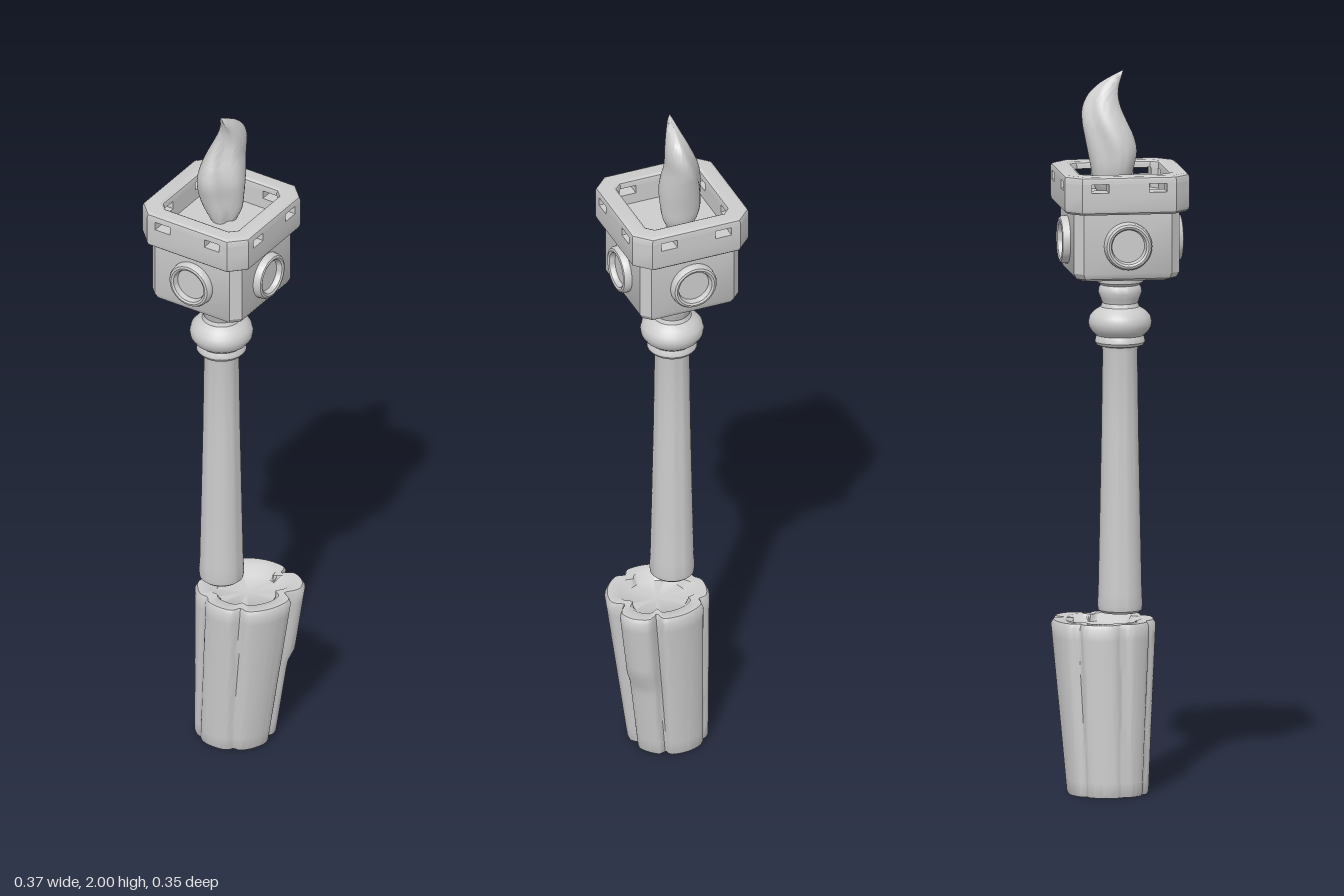
import * as THREE from 'three';
import { toCreasedNormals } from 'three/addons/utils/BufferGeometryUtils.js';

const grey = new THREE.MeshStandardMaterial({ color: 0xcccccc });
grey.name = 'plain grey';

// Skin closed cross-sections (arrays of [x, y, z], running from +x towards +z)
function loft(rings, crease = 0.7) {
  const n = rings[0].length, index = [];
  for (let i = 0; i < rings.length - 1; i++) {
    for (let j = 0; j < n; j++) {
      const a = i * n + j, b = i * n + (j + 1) % n, c = a + n, d = b + n;
      index.push(a, c, b, b, c, d);
    }
  }
  const g = new THREE.BufferGeometry();
  g.setAttribute('position', new THREE.Float32BufferAttribute(rings.flat(2), 3));
  g.setIndex(index);
  return toCreasedNormals(g, crease);
}

// Square with cut corners: half width h, corner cut c, height y
function octagon([h, c, y]) {
  const k = h - c;
  return [[h, -k], [h, k], [k, h], [-k, h], [-h, k], [-h, -k], [-k, -h], [k, -h]].map(([x, z]) => [x, y, z]);
}

function lathe(points, segments = 40) {
  const g = new THREE.LatheGeometry(points.map(([r, y]) => new THREE.Vector2(r, y)), segments);
  return toCreasedNormals(g, 0.6);
}

function add(parent, name, geometry) {
  const mesh = new THREE.Mesh(geometry, grey);
  mesh.name = name;
  parent.add(mesh);
  return mesh;
}

const bump = (d, w) => Math.exp(-((d / w) ** 2));
const wrap = (a) => Math.atan2(Math.sin(a), Math.cos(a));
const lerp = THREE.MathUtils.lerp;

// Hollow log with bark lobes split by grooves, leaning to its left
function logGeometry() {
  const N = 120, deg = Math.PI / 180;
  // groove angle, depth, width, drift from top to bottom (degrees)
  const grooves = [[-13, 0.032, 8, 4], [-67, 0.03, 5, 3], [66, 0.018, 6, -6],
    [118, 0.012, 6, 5], [165, 0.012, 7, 0], [-140, 0.018, 6, 4]];
  const ring = (t, y, scale = 1, minR = 0) => {
    const cx = lerp(0.008, 0.042, t), cz = lerp(-0.03, -0.037, t);
    return Array.from({ length: N }, (_, j) => {
      const a = j / N * Math.PI * 2;
      let r = lerp(0.112, 0.143, t);
      for (const [g, depth, w, drift] of grooves) {
        r -= depth * (0.55 + 0.45 * t) * bump(wrap(a - (g + drift * (1 - t)) * deg), w * deg);
      }
      // swollen bark strip that ends half way down
      r += 0.016 * THREE.MathUtils.smoothstep(t, 0.48, 0.58) * bump(wrap(a + 40 * deg), 22 * deg);
      r = minR || r * scale;
      return [cx + r * Math.cos(a), y, cz + r * Math.sin(a)];
    });
  };
  const H = 0.476, rings = [ring(0, 0, 0), ring(0, 0, 0.97)];
  for (let i = 0; i <= 14; i++) {
    const t = i / 14;
    rings.push(ring(t, 0.008 + t * (H - 0.02)));
  }
  rings.push(ring(1, H, 0.95), ring(1, H, 0.72), ring(1, H - 0.02, 0, 0.083), ring(1, H - 0.022, 0));
  return loft(rings, 0.8);
}

// Twisted, curved flame from bounds at each height: y, x min, x max, z min, z max
function flameGeometry() {
  const rows = [[1.655, -0.06, 0.01, -0.06, 0.015], [1.69, -0.085, 0.025, -0.075, 0.025],
    [1.73, -0.1, 0.03, -0.082, 0.034], [1.78, -0.1, 0.032, -0.092, 0.045],
    [1.82, -0.092, 0.027, -0.1, 0.038], [1.86, -0.078, 0.02, -0.107, 0.022],
    [1.9, -0.06, 0.02, -0.105, 0.007], [1.935, -0.044, 0.016, -0.088, 0.002],
    [1.965, -0.03, 0.006, -0.055, 0.006], [1.985, -0.022, -0.004, -0.02, 0.01], [2, -0.015, -0.015, 0.01, 0.01]];
  const N = 40;
  // smooth the rows into finer steps
  const path = (k) => new THREE.CatmullRomCurve3(rows.map((r) => new THREE.Vector3(r[k], r[0], r[k + 1])));
  const px = path(1), pz = path(3), rings = [];
  for (let i = 0; i <= 30; i++) {
    const x = px.getPoint(i / 30), z = pz.getPoint(i / 30), twist = 0.5 + i / 30 * 1.3;
    rings.push(Array.from({ length: N }, (_, j) => {
      const a = j / N * Math.PI * 2;
      // two hollows give the flame its ridges
      const s = 1 - 0.38 * bump(wrap(a - twist), 0.5) - 0.22 * bump(wrap(a - twist - 2.7), 0.55);
      return [(x.x + x.z) / 2 + (x.z - x.x) / 2 * s * Math.cos(a), x.y,
        (z.x + z.z) / 2 + (z.z - z.x) / 2 * s * Math.sin(a)];
    }));
  }
  return loft(rings, 1.2);
}

export function createModel() {
  const model = new THREE.Group();
  model.name = 'torch';
  add(model, 'log', logGeometry());

  const torch = new THREE.Group();
  torch.name = 'torchBody';
  torch.position.x = -0.018;
  model.add(torch);

  // Turned handle with ring, bulb and neck
  add(torch, 'handle', lathe([[0, 0.503], [0.052, 0.503], [0.06, 0.51], [0.062, 0.525], [0.06, 0.56],
    [0.056, 0.75], [0.051, 1.0], [0.048, 1.225], [0.05, 1.238], [0.064, 1.242], [0.069, 1.25], [0.067, 1.262],
    [0.064, 1.268], [0.076, 1.278], [0.085, 1.292], [0.087, 1.306], [0.083, 1.322], [0.07, 1.336], [0.053, 1.347],
    [0.049, 1.358], [0.054, 1.372], [0.06, 1.388], [0.058, 1.4], [0.053, 1.408], [0.064, 1.416], [0.066, 1.44]]));

  // Lamp box, lower collar and recessed floor in one skin
  add(torch, 'lampBox', loft([[0, 0, 1.436], [0.124, 0.02, 1.436], [0.138, 0.022, 1.443], [0.146, 0.024, 1.458],
    [0.146, 0.024, 1.622], [0.163, 0.04, 1.624], [0.17, 0.042, 1.63], [0.172, 0.042, 1.638], [0.172, 0.042, 1.686],
    [0.121, 0.02, 1.686], [0.121, 0.02, 1.655], [0, 0, 1.655]].map(octagon), 0.5));

  // Top rim above the slots
  add(torch, 'collarRim', loft([[0.172, 0.042, 1.71], [0.172, 0.042, 1.719], [0.17, 0.042, 1.726],
    [0.163, 0.041, 1.73], [0.13, 0.024, 1.73], [0.123, 0.02, 1.726], [0.121, 0.02, 1.719],
    [0.121, 0.02, 1.71], [0.172, 0.042, 1.71]].map(octagon), 0.5));

  // Corner post between the slots, shape in x and z
  const corner = new THREE.Shape([[0.104, 0.172], [0.13, 0.172], [0.172, 0.13], [0.172, 0.104],
    [0.121, 0.104], [0.104, 0.121]].map(([x, z]) => new THREE.Vector2(x, z)));
  const cornerGeometry = new THREE.ExtrudeGeometry(corner, { depth: 0.024, bevelEnabled: false });
  cornerGeometry.rotateX(Math.PI / 2).translate(0, 1.71, 0);
  const middleGeometry = new THREE.BoxGeometry(0.112, 0.024, 0.051).translate(0, 1.698, 0.1465);
  const ringGeometry = lathe([[0.066, 0], [0.065, 0.014], [0.061, 0.02], [0.055, 0.022], [0.049, 0.019],
    [0.046, 0.012], [0.045, 0.004], [0, 0.004]], 36);
  ringGeometry.rotateX(Math.PI / 2).translate(0, 1.535, 0.146);

  for (let i = 0; i < 4; i++) {
    const side = new THREE.Group();
    side.name = 'lampSide';
    side.rotation.y = i * Math.PI / 2;
    add(side, 'collarCorner', cornerGeometry);
    add(side, 'collarMiddle', middleGeometry);
    add(side, 'roundFrame', ringGeometry);
    torch.add(side);
  }

  add(model, 'flame', flameGeometry());
  return model;
}
